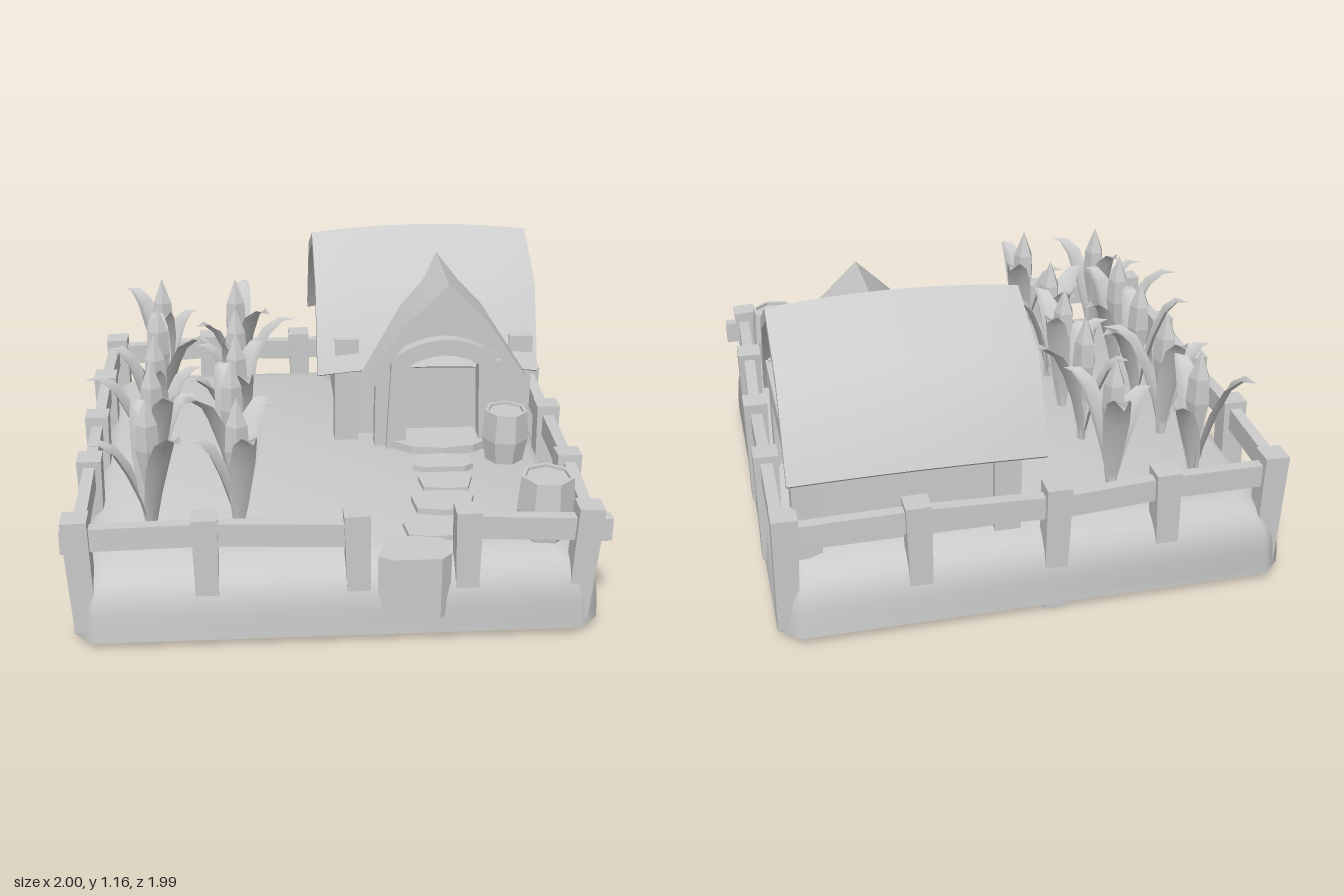
import * as THREE from 'three';
import { toCreasedNormals } from 'three/addons/utils/BufferGeometryUtils.js';

const GROUND = 0.32;
const smoothMat = new THREE.MeshStandardMaterial({ color: 0xcccccc });
const flatMat = new THREE.MeshStandardMaterial({ color: 0xcccccc, flatShading: true });
const leafMat = new THREE.MeshStandardMaterial({ color: 0xcccccc, side: THREE.DoubleSide });

function add(parent, name, geo, mat = flatMat) {
  const mesh = new THREE.Mesh(geo, mat);
  mesh.name = name;
  parent.add(mesh);
  return mesh;
}

function subgroup(parent, name) {
  const g = new THREE.Group();
  g.name = name;
  parent.add(g);
  return g;
}

function extrude(points, depth, steps = 1, holes = []) {
  const toShape = (pts) => new THREE.Shape(pts.map(([x, y]) => new THREE.Vector2(x, y)));
  const shape = toShape(points);
  shape.holes = holes.map(toShape);
  return new THREE.ExtrudeGeometry(shape, { depth, steps, bevelEnabled: false });
}

// Moves every vertex by a rule
function warp(geo, rule) {
  const p = geo.attributes.position, v = new THREE.Vector3();
  for (let i = 0; i < p.count; i++) {
    rule(v.fromBufferAttribute(p, i));
    p.setXYZ(i, v.x, v.y, v.z);
  }
  geo.computeVertexNormals();
  return geo;
}

function box(parent, name, w, h, d, x, y, z) {
  const m = add(parent, name, new THREE.BoxGeometry(w, h, d));
  m.position.set(x, y, z);
  return m;
}

// Ground block with softly rounded upper edges
function buildBase(root) {
  const a = 0.975, c = 0.9;
  const outline = [[-c, -a], [c, -a], [a, -c], [a, c], [c, a], [-c, a], [-a, c], [-a, -c]];
  const geo = extrude(outline, 0.29, 8).rotateX(-Math.PI / 2).translate(0, 0.03, 0);
  warp(geo, (v) => {
    const t = (v.y - 0.03) / 0.29;
    const s = 1 - 0.015 * t - 0.1 * t ** 5;
    v.x *= s;
    v.z *= s;
  });
  add(root, 'groundBlock', toCreasedNormals(geo, 0.8), smoothMat);
}

function buildHouse(root) {
  const house = subgroup(root, 'house');

  // Walls follow the gable profile along x
  const wall = extrude([[0.16, 0.3], [0.84, 0.3], [0.83, 0.85], [0.77, 0.97], [0.5, 1.11], [0.25, 0.94], [0.17, 0.8]], 0.78);
  add(house, 'walls', wall.rotateY(Math.PI / 2).translate(0.08, 0, 0));

  // Bowed barn roof
  const roof = extrude([[0.07, 0.635], [0.22, 0.97], [0.5, 1.13], [0.8, 0.99], [0.96, 0.66],
    [0.925, 0.635], [0.765, 0.955], [0.5, 1.08], [0.25, 0.935], [0.11, 0.615]], 0.93, 6);
  roof.rotateY(Math.PI / 2).translate(-0.02, 0, 0);
  warp(roof, (v) => {
    const bow = 1 - ((v.x - 0.45) / 0.465) ** 2;
    v.y += 0.028 * bow;
    if (v.z < -0.6) v.z -= 0.035 * bow;
  });
  add(house, 'mainRoof', toCreasedNormals(roof, 0.75), smoothMat);

  // Corner posts and gable beams
  for (const x of [0.105, 0.84]) {
    for (const z of [-0.15, -0.82]) box(house, 'cornerPost', 0.1, 0.48, 0.1, x, 0.54, z);
  }
  for (const x of [0.07, 0.87]) box(house, 'gableBeam', 0.06, 0.09, 0.68, x, 0.725, -0.5);

  // Porch roof running back into the main roof
  const half = [[-0.34, 0.65], [-0.17, 0.9], [0, 1.065]];
  const inner = [[0, 1.005], [-0.145, 0.86], [-0.3, 0.625]];
  const flip = (pts) => pts.map(([x, y]) => [-x, y]).reverse();
  const porch = extrude([...half, ...flip(half).slice(1), ...flip(inner).slice(0, -1), ...inner], 0.4);
  porch.translate(0.505, 0, -0.36);
  warp(porch, (v) => { v.y -= (v.z + 0.36) * 0.04 - 0.01; });
  add(house, 'porchRoof', toCreasedNormals(porch, 0.6), smoothMat);

  // Porch front with arched doorway
  const arch = (w, base, spring, rise) => {
    const pts = [[0.505 - w, base], [0.505 + w, base]];
    for (let i = 0; i <= 8; i++) {
      const u = 1 - i / 4;
      pts.push([0.505 + w * u, spring + rise * (1 - u * u)]);
    }
    return pts;
  };
  const front = extrude([[0.25, 0.3], [0.76, 0.3], [0.76, 0.69], [0.65, 0.87], [0.505, 1.01], [0.36, 0.87], [0.25, 0.69]],
    0.12, 1, [arch(0.17, 0.31, 0.65, 0.09)]);
  add(house, 'porchFront', front.translate(0, 0, -0.17));
  box(house, 'door', 0.36, 0.44, 0.03, 0.505, 0.53, -0.14);
  const band = [];
  for (let i = 0; i <= 8; i++) band.push([0.285 + i * 0.055, 0.73 + 0.08 * (1 - (i / 4 - 1) ** 2)]);
  for (let i = 8; i >= 0; i--) band.push([0.305 + i * 0.05, 0.66 + 0.08 * (1 - (i / 4 - 1) ** 2)]);
  add(house, 'doorArch', extrude(band, 0.08).translate(0, 0, -0.08));
  for (const s of [-1, 1]) {
    const post = box(house, 'doorPost', 0.08, 0.4, 0.08, 0.505 + s * 0.19, 0.51, -0.04);
    post.rotation.z = s * 0.04;
    box(house, 'porchPlank', 0.06, 0.4, 0.06, 0.505 + s * 0.255, 0.5, -0.06);
  }
  const step = new THREE.CylinderGeometry(0.22, 0.22, 0.04, 10);
  add(house, 'doorStep', step.scale(1, 1, 0.55)).position.set(0.5, 0.335, -0.04);
}

function buildFence(root) {
  const fence = subgroup(root, 'fence');
  // Posts taper and lean a little; runs list [x, z, lean]
  const post = (x, z, lean, alongX, low = 0.05) => {
    const geo = new THREE.BoxGeometry(0.095, 0.515 - low, 0.095);
    warp(geo, (v) => { if (v.y < 0) { v.x *= 0.85; v.z *= 0.85; } });
    const m = add(fence, 'fencePost', geo);
    m.position.set(x, (0.515 + low) / 2, z);
    m.rotation.set(alongX ? 0 : lean, 0, alongX ? lean : 0);
  };
  const rail = (p, q, y0, y1, extra = 0) => {
    const a = new THREE.Vector3(p[0], y0, p[1]), b = new THREE.Vector3(q[0], y1, q[1]);
    const m = add(fence, 'fenceRail', new THREE.BoxGeometry(0.045, 0.09, a.distanceTo(b) + extra));
    m.position.copy(a).lerp(b, 0.5);
    m.lookAt(b);
  };
  const runs = {
    front: [[-0.935, 0.905, 0.04], [-0.48, 0.915, 0.01], [0.07, 0.915, 0.03], [0.47, 0.915, 0.01], [0.9, 0.915, -0.06]],
    back: [[-0.915, -0.885, 0.03], [-0.49, -0.91, -0.02], [-0.06, -0.92, 0.02], [0.45, -0.92, -0.02], [0.93, -0.9, 0.02]],
    left: [[0.945, -0.9, 0.02], [0.945, -0.44, 0.02], [0.945, 0, -0.02], [0.93, 0.48, -0.06], [0.92, 0.91, 0]],
    right: [[-0.935, -0.88, 0], [-0.94, -0.44, 0.03], [-0.94, 0, -0.02], [-0.935, 0.4, 0.03], [-0.935, 0.905, 0]],
  };
  for (const [side, pts] of Object.entries(runs)) {
    const alongX = side === 'front' || side === 'back';
    pts.forEach((p, i) => {
      const corner = i === 0 || i === 4;
      if (alongX || !corner) post(p[0], p[1], p[2], alongX, side === 'back' && i === 2 ? 0 : 0.06);
      const gate = side === 'front' && i === 2;
      if (i < 4 && !gate) rail(p, pts[i + 1], 0.43 + (i % 2) * 0.015, 0.445 - (i % 2) * 0.02, 0.03);
    });
  }
  box(fence, 'railEnd', 0.1, 0.09, 0.05, 0.95, 0.415, 0.905);
  box(fence, 'railEnd', 0.1, 0.09, 0.05, -0.95, 0.425, 0.905);
}

// Arching, folded leaf growing along +x
function leafGeometry(reach, tipY) {
  const rows = [[0, 0, 0.02], [0.1, 0.35, 0.04], [0.28, 0.68, 0.052], [0.5, 0.92, 0.045], [0.75, 1.02, 0.028], [1, 1, 0.001]];
  const pos = [], idx = [];
  rows.forEach(([r, h, w], i) => {
    const x = r * reach, y = GROUND + h * (tipY - GROUND);
    pos.push(x, y, -w, x + w * 0.35, y - w * 0.3, 0, x, y, w);
    if (i) for (const k of [0, 1]) {
      const a = (i - 1) * 3 + k, b = i * 3 + k;
      idx.push(a, a + 1, b, a + 1, b + 1, b);
    }
  });
  const g = new THREE.BufferGeometry();
  g.setAttribute('position', new THREE.Float32BufferAttribute(pos, 3));
  g.setIndex(idx);
  g.computeVertexNormals();
  return g;
}

function buildCorn(root) {
  // Plant x, z then three leaf tip offsets (dx, dz)
  const plants = [
    [-0.69, -0.68, -0.17, -0.14, 0.15, -0.1, 0.02, 0.22], [-0.36, -0.66, 0.05, -0.25, -0.18, 0.1, 0.15, 0.18],
    [-0.69, -0.31, -0.02, -0.18, -0.21, 0.06, 0.22, 0.15], [-0.36, -0.28, 0.26, -0.09, -0.17, -0.05, -0.03, 0.21],
    [-0.69, 0.01, -0.19, -0.06, 0.19, -0.09, 0, 0.2], [-0.36, 0.02, 0.11, -0.13, -0.21, 0.05, 0.05, 0.28],
    [-0.69, 0.3, -0.26, -0.03, 0.17, -0.09, 0.1, 0.17], [-0.38, 0.31, -0.05, -0.2, 0.16, 0.01, -0.2, 0.19],
    [-0.69, 0.65, -0.05, -0.18, -0.23, 0.01, 0.14, 0.2], [-0.36, 0.68, 0.12, -0.22, -0.18, -0.03, 0.06, 0.18],
  ];
  const profile = [[0.018, 0.3], [0.02, 0.5], [0.048, 0.66], [0.042, 0.76], [0, 0.87]].map(([r, y]) => new THREE.Vector2(r, y));
  const cob = new THREE.LatheGeometry(profile, 5);
  for (const [x, z, ...tips] of plants) {
    const plant = subgroup(root, 'cornPlant');
    plant.position.set(x, 0, z);
    add(plant, 'cob', cob);
    for (let i = 0; i < 3; i++) {
      const dx = tips[i * 2], dz = tips[i * 2 + 1];
      const leaf = add(plant, 'leaf', leafGeometry(Math.hypot(dx, dz), [0.78, 0.68, 0.76][i]), leafMat);
      leaf.rotation.y = Math.atan2(-dz, dx);
    }
  }
}

function buildYard(root) {
  // Stepping stones: x, z, half width, half depth, bottom, top
  const stones = [[0.48, 0.175, 0.125, 0.065, 0.3, 0.345], [0.475, 0.345, -0.11, 0.075, 0.3, 0.34],
    [0.44, 0.525, 0.125, -0.085, 0.3, 0.345], [0.38, 0.725, -0.12, 0.08, 0.3, 0.34], [0.275, 0.905, 0.135, 0.09, 0.1, 0.35]];
  const outline = [[-1, -0.6], [-0.7, 0.9], [0.1, 1], [0.9, 0.75], [1, -0.5], [0.7, -0.95], [-0.6, -0.95]];
  for (const [x, z, w, d, low, top] of stones) {
    const geo = extrude(outline.map(([a, b]) => [a * Math.abs(w), b * Math.abs(d)]), top - low).rotateX(-Math.PI / 2);
    const m = add(root, low < 0.2 ? 'entranceStep' : 'steppingStone', geo);
    m.position.set(x, low, z);
    m.rotation.y = w < 0 || d < 0 ? Math.PI : 0;
  }
  // Seven-sided barrels with a sunken lid
  for (const [x, z, s, h] of [[0.785, 0.765, 1, 0.245], [0.75, 0.11, 0.88, 0.22]]) {
    const pts = [[0, 0], [0.09, 0], [0.11, 0.45], [0.1, 1], [0.085, 1], [0.085, 0.95], [0, 0.95]];
    const geo = new THREE.LatheGeometry(pts.map(([r, y]) => new THREE.Vector2(r * s, y * h)), 7);
    const barrel = add(root, 'barrel', geo);
    barrel.position.set(x, GROUND, z);
    barrel.rotation.y = 0.3;
  }
}

export function createModel() {
  const root = new THREE.Group();
  root.name = 'farmPlot';
  buildBase(root);
  buildHouse(root);
  buildFence(root);
  buildCorn(root);
  buildYard(root);
  return root;
}
